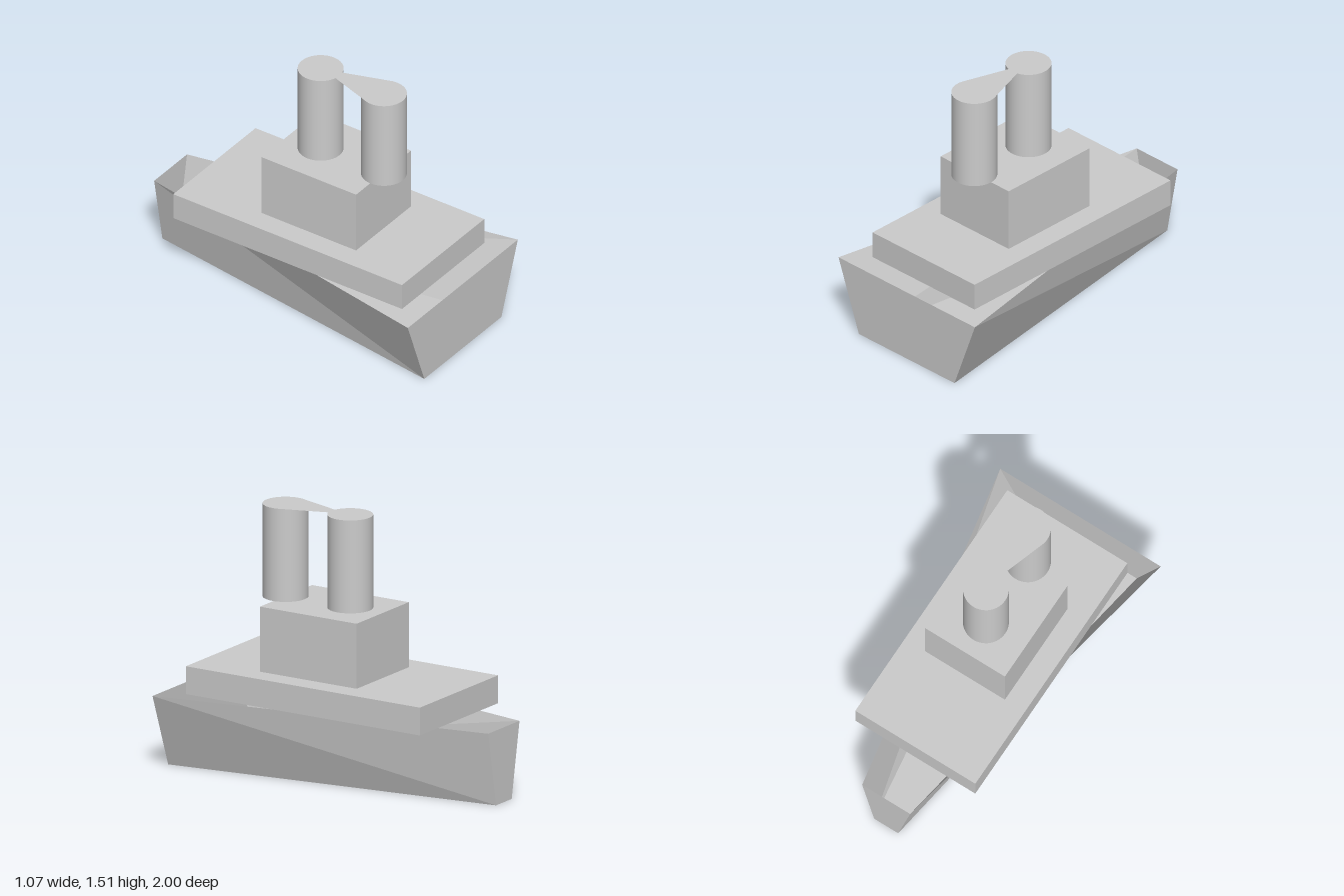
import * as THREE from 'three';

const grey = new THREE.MeshStandardMaterial({ color: 0xcccccc });
const thin = new THREE.MeshStandardMaterial({ color: 0xcccccc, side: THREE.DoubleSide });

function add(group, name, geometry, material = grey) {
  const mesh = new THREE.Mesh(geometry, material);
  mesh.name = name;
  group.add(mesh);
  return mesh;
}

// Box given by half width and its y and z ranges
function block(halfWidth, y0, y1, z0, z1) {
  return new THREE.BoxGeometry(halfWidth * 2, y1 - y0, z1 - z0)
    .translate(0, (y0 + y1) / 2, (z0 + z1) / 2);
}

// Open-topped hull: floor, two flared sides and two flat ends
function hullGeometry(height) {
  // Section order: top left, bottom left, bottom right, top right
  const section = (top, bottom, z) => [
    [top, height, z], [bottom, 0, z], [-bottom, 0, z], [-top, height, z],
  ];
  const back = section(0.16, 0.08, -1);
  const front = section(0.535, 0.375, 1);
  const points = [];
  const quad = (a, b, c, d) => points.push(...a, ...b, ...c, ...a, ...c, ...d);
  for (let i = 0; i < 3; i++) quad(front[i], front[i + 1], back[i + 1], back[i]);
  quad(front[3], front[2], front[1], front[0]);
  quad(...back);
  const geometry = new THREE.BufferGeometry();
  geometry.setAttribute('position', new THREE.Float32BufferAttribute(points, 3));
  geometry.computeVertexNormals();
  return geometry;
}

export function createModel() {
  const ship = new THREE.Group();
  ship.name = 'ship';

  add(ship, 'hull', hullGeometry(0.435), thin);
  add(ship, 'deck', block(0.4, 0.435, 0.597, -0.7, 0.865));
  add(ship, 'cabin', block(0.267, 0.597, 0.975, -0.19, 0.457));

  // Two funnels, the front one overhanging the cabin
  const base = 0.975, top = 1.515, radius = 0.129;
  for (const [name, z] of [['backFunnel', 0.027], ['frontFunnel', 0.46]]) {
    add(ship, name, new THREE.CylinderGeometry(radius, radius, top - base, 48)
      .translate(0, (base + top) / 2, z));
  }

  // Thin tapered sheet joining the funnel tops
  const web = new THREE.Shape([[-0.122, -0.42], [0.122, -0.42], [0.033, -0.15], [-0.033, -0.15]]
    .map(([x, y]) => new THREE.Vector2(x, y)));
  add(ship, 'funnelWeb', new THREE.ShapeGeometry(web)
    .rotateX(-Math.PI / 2).translate(0, top, 0), thin);

  return ship;
}
